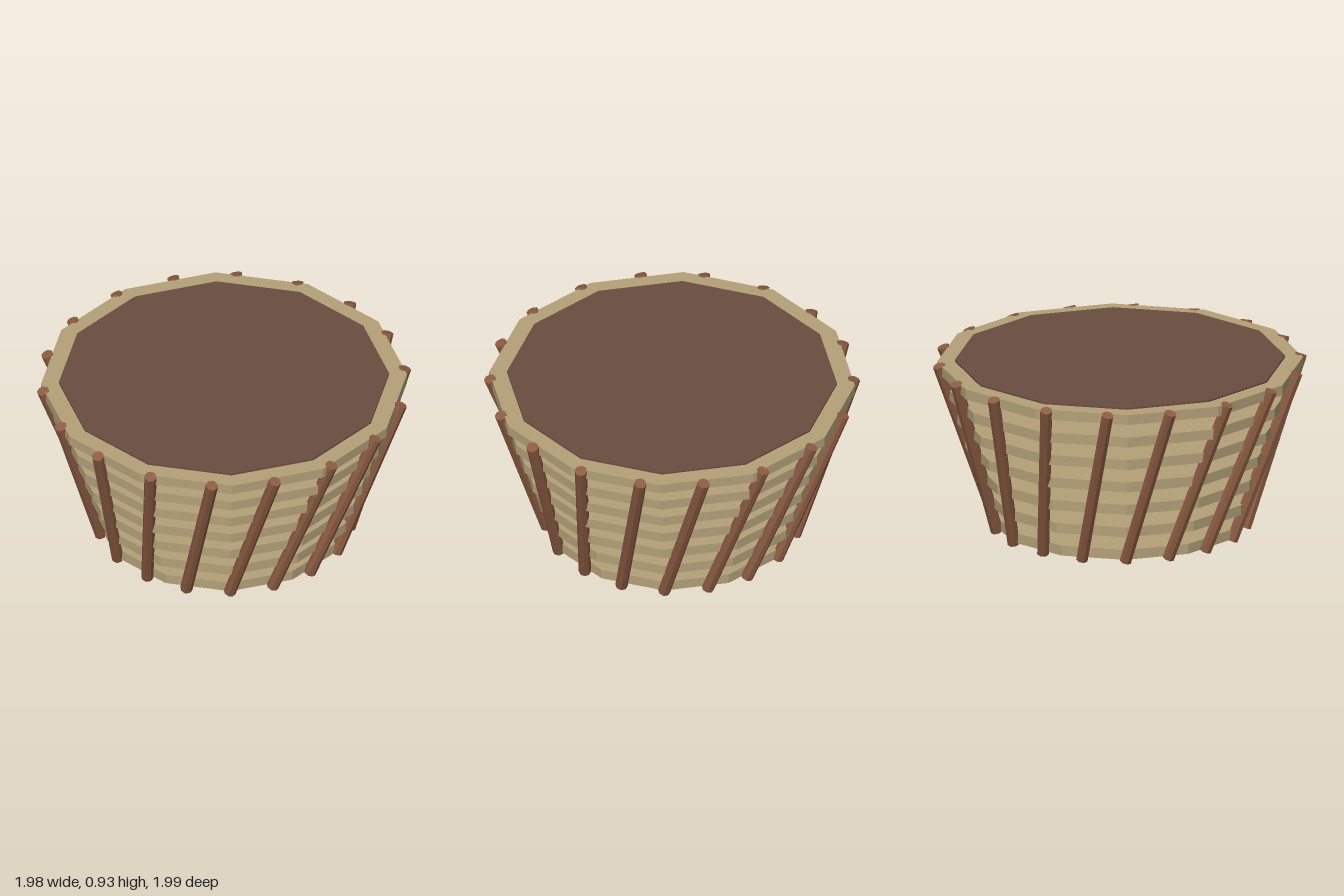
import * as THREE from 'three';

const flat = (name, color) => {
  const m = new THREE.MeshStandardMaterial({ color, flatShading: true });
  m.name = name;
  return m;
};

export function createModel() {
  const group = new THREE.Group();
  group.name = 'planterBasket';
  const slatWood = flat('paleWood', 0xb3a078);
  const rodWood = flat('brownWood', 0x8b5c42);
  const earth = flat('darkSoil', 0x6a4c40);

  const add = (name, geometry, material) => {
    const mesh = new THREE.Mesh(geometry, material);
    mesh.name = name;
    group.add(mesh);
    return mesh;
  };

  // Stacked twelve-sided tiers, widening upwards
  const tiers = 7;
  for (let i = 0; i < tiers; i++) {
    const t = i / (tiers - 1);
    const radius = THREE.MathUtils.lerp(0.675, 0.972, t);
    add('tier' + (i + 1), new THREE.CylinderGeometry(radius, radius, 0.055, 12), slatWood)
      .position.y = THREE.MathUtils.lerp(0.046, 0.892, t);
  }

  // Soil surface, slightly proud of the rim
  add('soil', new THREE.CylinderGeometry(0.877, 0.877, 0.03, 12), earth).position.y = 0.914;

  // Leaning, slightly twisted rods around the outside
  const rods = 18;
  const up = new THREE.Vector3(0, 1, 0);
  const ringPoint = (radius, degrees, y) => {
    const a = THREE.MathUtils.degToRad(degrees);
    return new THREE.Vector3(radius * Math.sin(a), y, radius * Math.cos(a));
  };
  for (let i = 0; i < rods; i++) {
    const angle = (i * 360) / rods;
    const bottom = ringPoint(0.67, angle - 10, 0.011);
    const top = ringPoint(0.967, angle + 3.6, 0.917);
    const axis = top.clone().sub(bottom);
    const rod = add('rod' + (i + 1), new THREE.CylinderGeometry(0.033, 0.033, axis.length(), 8), rodWood);
    rod.position.copy(bottom).add(top).multiplyScalar(0.5);
    rod.quaternion.setFromUnitVectors(up, axis.normalize());
  }
  return group;
}
